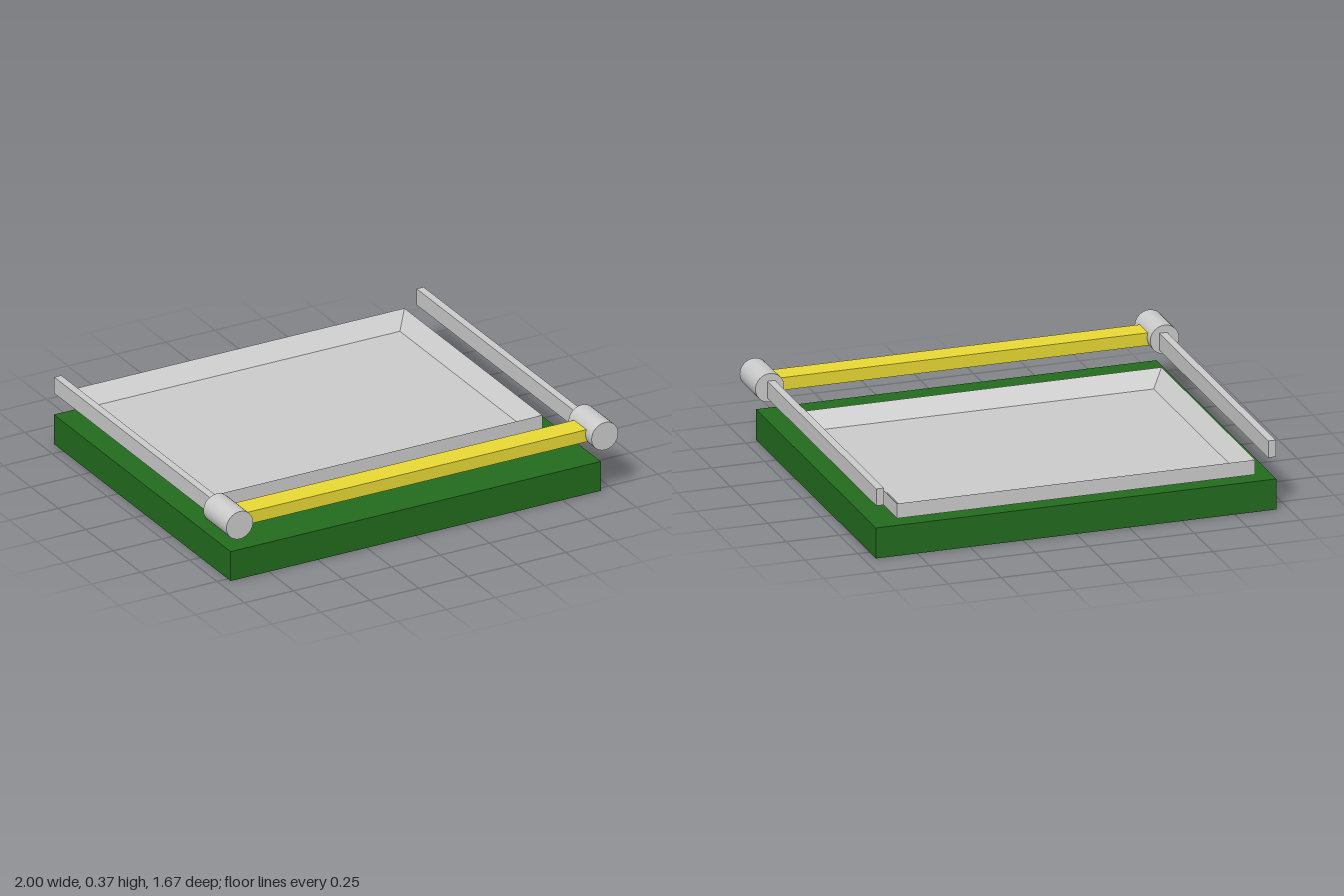
import * as THREE from 'three';

const grey = new THREE.MeshStandardMaterial({ color: 0xcccccc });
const greyFlat = new THREE.MeshStandardMaterial({ color: 0xcccccc, flatShading: true });
const green = new THREE.MeshStandardMaterial({ color: 0x236b1e });
const yellow = new THREE.MeshStandardMaterial({ color: 0xe8da33 });

// Box given by its minimum and maximum corners
function box(name, material, [x0, y0, z0], [x1, y1, z1]) {
  const mesh = new THREE.Mesh(new THREE.BoxGeometry(x1 - x0, y1 - y0, z1 - z0), material);
  mesh.position.set((x0 + x1) / 2, (y0 + y1) / 2, (z0 + z1) / 2);
  mesh.name = name;
  return mesh;
}

// Tray: rectangular loops joined from the underside, up the outer walls,
// over the knife-edge rim and down the sloped inner walls to the floor
function trayGeometry() {
  const outer = [-0.845, 0.845, -0.835, 0.42];
  const inner = [-0.78, 0.78, -0.76, 0.34];
  const loops = [[outer, 0.178], [outer, 0.248], [inner, 0.181]];
  const positions = loops.flatMap(([[x0, x1, z0, z1], y]) =>
    [x0, y, z1, x1, y, z1, x1, y, z0, x0, y, z0]);
  const index = [0, 2, 1, 0, 3, 2, 8, 9, 10, 8, 10, 11];
  for (let l = 0; l < 2; l++) {
    for (let i = 0; i < 4; i++) {
      const a = l * 4 + i, b = l * 4 + (i + 1) % 4;
      index.push(a, b, b + 4, a, b + 4, a + 4);
    }
  }
  const geometry = new THREE.BufferGeometry();
  geometry.setAttribute('position', new THREE.Float32BufferAttribute(positions, 3));
  geometry.setIndex(index);
  const flat = geometry.toNonIndexed();
  flat.computeVertexNormals();
  return flat;
}

export function createModel() {
  const model = new THREE.Group();
  model.name = 'slidingTray';

  model.add(box('base', green, [-0.945, 0, -0.835], [0.945, 0.145, 0.775]));

  const tray = new THREE.Mesh(trayGeometry(), greyFlat);
  tray.name = 'tray';
  model.add(tray);

  model.add(box('crossBar', yellow, [-0.9, 0.262, 0.668], [0.9, 0.322, 0.78]));

  // Side rails, each ending in a round cap at the front
  for (const [side, s] of [['left', 1], ['right', -1]]) {
    const rail = box(side + 'Rail', grey, [0.907, 0.25, -0.835], [0.943, 0.33, 0.65]);
    rail.position.x *= s;
    const cap = new THREE.Mesh(new THREE.CylinderGeometry(0.068, 0.068, 0.21, 32), grey);
    cap.rotation.x = Math.PI / 2;
    cap.position.set(s * 0.932, 0.298, 0.73);
    cap.name = side + 'EndCap';
    model.add(rail, cap);
  }
  return model;
}
